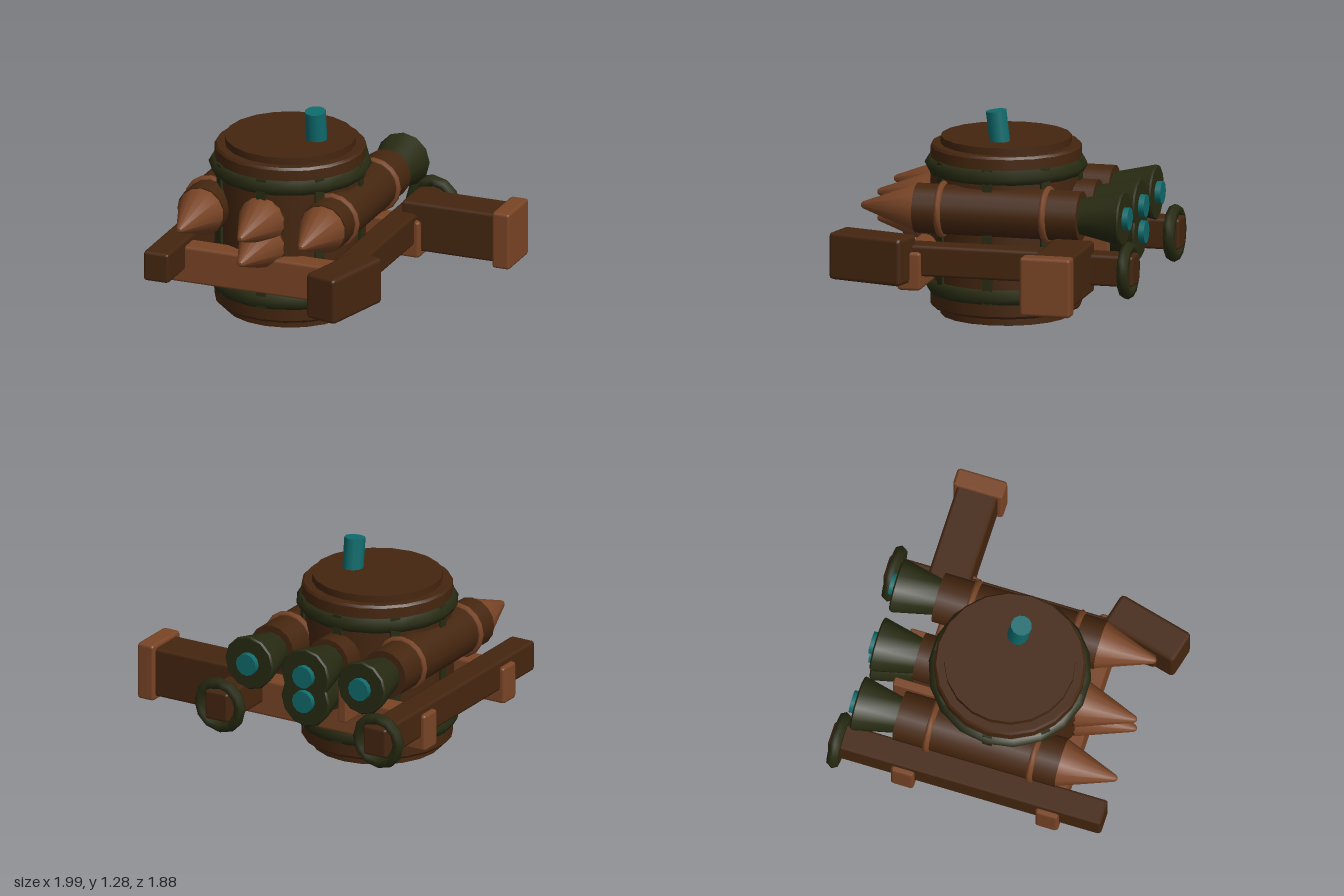
import * as THREE from 'three';
import { toCreasedNormals } from 'three/addons/utils/BufferGeometryUtils.js';
import { RoundedBoxGeometry } from 'three/addons/geometries/RoundedBoxGeometry.js';

const material = (name, color) => {
  const m = new THREE.MeshStandardMaterial({ color });
  m.name = name;
  return m;
};

export function createModel() {
  const darkWood = material('darkWood', 0x45260f);
  const lightWood = material('lightWood', 0x7a4526);
  const green = material('darkGreen', 0x282b12);
  const teal = material('teal', 0x0f6b6d);
  const model = new THREE.Group();
  model.name = 'rocketBarrel';

  const add = (parent, name, geometry, mat, x = 0, y = 0, z = 0) => {
    const mesh = new THREE.Mesh(geometry, mat);
    mesh.name = name;
    mesh.position.set(x, y, z);
    parent.add(mesh);
    return mesh;
  };
  // Box with narrow chamfered edges
  const block = (parent, name, mat, size, pos, bevel = 0.02) =>
    add(parent, name, new RoundedBoxGeometry(...size, 1, bevel), mat, ...pos);
  // Turned part from [radius, height] pairs
  const turned = (profile, sides) => toCreasedNormals(
    new THREE.LatheGeometry(profile.map(p => new THREE.Vector2(...p)), sides), 0.6);

  // Barrel with stepped lids
  const barrel = new THREE.Group();
  barrel.name = 'barrel';
  barrel.position.x = -0.26;
  model.add(barrel);
  add(barrel, 'barrelBody', turned([
    [0, 0], [0.395, 0], [0.395, 0.05], [0.445, 0.05], [0.457, 0.065],
    [0.457, 1.03], [0.445, 1.045], [0.395, 1.045], [0.395, 1.09], [0, 1.09],
  ], 20), darkWood);
  for (const y of [0.185, 0.92]) {
    const hoop = add(barrel, 'hoop', new THREE.TorusGeometry(0.44, 0.052, 6, 18), green, 0, y, 0);
    hoop.rotation.x = Math.PI / 2;
  }
  for (let i = 0; i < 8; i++) {
    const a = i * Math.PI / 4;
    const strap = add(barrel, 'strap', new THREE.BoxGeometry(0.06, 0.83, 0.03), green,
      Math.sin(a) * 0.452, 0.5525, Math.cos(a) * 0.452);
    strap.rotation.y = a;
  }
  // Fuse plug leaning forward on the lid
  const plug = add(model, 'plug', new THREE.CylinderGeometry(0.064, 0.064, 0.24, 12), teal, -0.09, 1.155, 0.005);
  plug.rotation.x = 0.12;

  // Rockets: local +y points to the front
  const rocket = (x, y, r, banded) => {
    const g = new THREE.Group();
    g.name = 'rocket';
    g.position.set(x, y, 0);
    g.rotation.x = Math.PI / 2;
    model.add(g);
    add(g, 'rocketBody', new THREE.CylinderGeometry(r, r, 1.02, 16), darkWood, 0, -0.06, 0);
    add(g, 'noseCone', turned([[0, 0.445], [0.146, 0.445], [0.146, 0.455], [0.022, 0.785], [0.012, 0.797], [0, 0.8]], 14), lightWood);
    add(g, 'nozzle', turned([[0, -0.835], [0.16, -0.835], [0.17, -0.825], [0.112, -0.57], [0, -0.57]], 12), green);
    add(g, 'exhaust', new THREE.CylinderGeometry(0.07, 0.07, 0.06, 12), teal, 0, -0.84, 0);
    if (banded) for (const z of [0.29, -0.36]) {
      const band = add(g, 'rocketBand', new THREE.TorusGeometry(0.153, 0.022, 6, 16), lightWood, 0, z, 0);
      band.rotation.x = Math.PI / 2;
    }
  };
  rocket(-0.655, 0.7, 0.153, true);
  rocket(0.135, 0.7, 0.153, true);
  rocket(-0.26, 0.7, 0.146, false);
  rocket(-0.26, 0.54, 0.146, false);

  // Cradle posts beside the middle rockets
  for (const s of [-1, 1]) {
    block(model, 'cradlePost', lightWood, [0.055, 0.24, 0.28], [-0.262 + s * 0.163, 0.5, -0.54], 0.01);
  }

  // Side beams with end hoops
  for (const x of [-0.818, 0.297]) {
    block(model, 'sideBeam', darkWood, [0.165, 0.19, 1.72], [x, 0.425, -0.09]);
    add(model, 'beamHoop', new THREE.TorusGeometry(0.14, 0.038, 6, 12), green, x, 0.42, -0.9);
  }
  // Cross beams
  for (const z of [0.435, -0.473]) {
    block(model, 'crossBeam', lightWood, [1.34, 0.235, 0.145], [-0.26, 0.363, z]);
  }

  // Slanted front block on the left
  block(model, 'frontBlock', darkWood, [0.215, 0.29, 0.49], [0.367, 0.435, 0.67], 0.025).rotation.y = -0.25;

  // Mallet reaching out at the left rear
  block(model, 'malletHandle', darkWood, [0.62, 0.31, 0.255], [0.59, 0.435, -0.563]);
  block(model, 'malletHead', lightWood, [0.116, 0.36, 0.315], [0.938, 0.435, -0.56]);

  return model;
}
